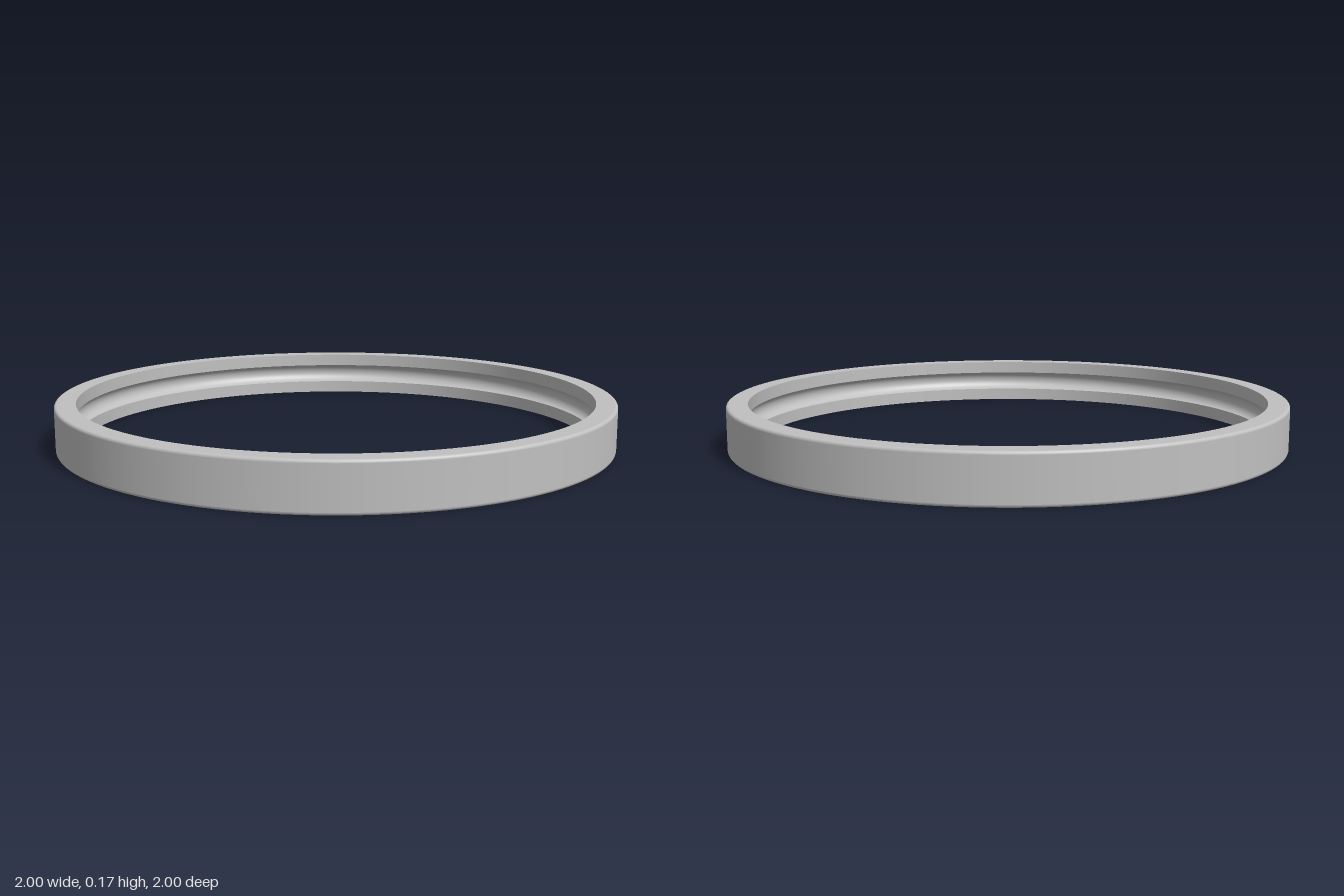
import * as THREE from 'three';

const OUTER = 1, INNER = 0.925, HEIGHT = 0.165, FILLET = 0.01;
const GROOVE_HALF = 0.036, GROOVE_DEPTH = 0.03;

const steel = new THREE.MeshStandardMaterial({ color: 0xc0c0c0 });
steel.name = 'steel grey';

// Points along an arc in the (radius, height) plane
function arc(cx, cy, r, from, to, steps) {
  return Array.from({ length: steps + 1 }, (_, i) => {
    const a = from + (to - from) * i / steps;
    return [cx + r * Math.cos(a), cy + r * Math.sin(a)];
  });
}

export function createModel() {
  const ring = new THREE.Group();
  ring.name = 'bearingOuterRing';

  // Each smooth surface is its own lathe, so edges between them stay sharp
  const addSurface = (name, points) => {
    const profile = points.map(([r, y]) => new THREE.Vector2(r, y));
    const mesh = new THREE.Mesh(new THREE.LatheGeometry(profile, 128), steel);
    mesh.name = name;
    ring.add(mesh);
  };

  // Ball groove: a circular arc cut into the middle of the inner wall
  const mid = HEIGHT / 2;
  const grooveR = (GROOVE_HALF ** 2 + GROOVE_DEPTH ** 2) / (2 * GROOVE_DEPTH);
  const grooveX = INNER + GROOVE_DEPTH - grooveR;
  const sweep = Math.atan2(GROOVE_HALF, INNER - grooveX);

  // Profile runs counter-clockwise so that every surface faces outwards
  const edge = OUTER - FILLET, top = HEIGHT - FILLET;
  addSurface('bottomFace', [[INNER, 0], [edge, 0]]);
  addSurface('bottomFillet', arc(edge, FILLET, FILLET, -Math.PI / 2, 0, 5));
  addSurface('outerWall', [[OUTER, FILLET], [OUTER, top]]);
  addSurface('topFillet', arc(edge, top, FILLET, 0, Math.PI / 2, 5));
  addSurface('topFace', [[edge, HEIGHT], [INNER, HEIGHT]]);
  addSurface('upperLand', [[INNER, HEIGHT], [INNER, mid + GROOVE_HALF]]);
  addSurface('ballGroove', arc(grooveX, mid, grooveR, sweep, -sweep, 20));
  addSurface('lowerLand', [[INNER, mid - GROOVE_HALF], [INNER, 0]]);
  return ring;
}
